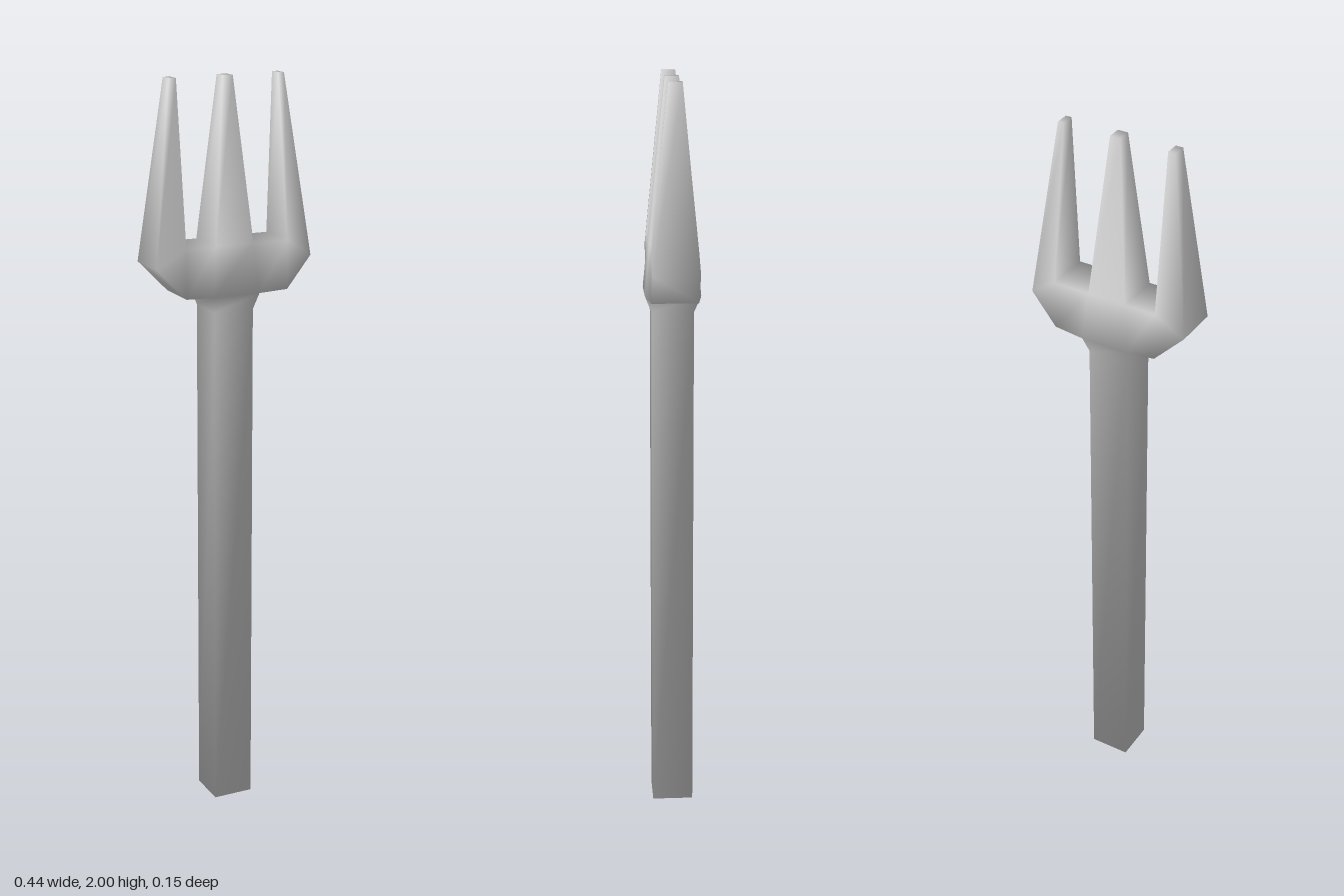
import * as THREE from 'three';

export function createModel() {
  const points = [], lookup = new Map(), normals = [], parts = {};

  // Shared corner index, so shading flows from part to part
  const corner = (p) => {
    const key = p.map((v) => v.toFixed(4)).join();
    if (!lookup.has(key)) {
      lookup.set(key, points.length);
      points.push(p);
      normals.push(new THREE.Vector3());
    }
    return lookup.get(key);
  };

  // Adds a quad (or a triangle, if two corners coincide) to a named part
  const quad = (part, ...corners) => {
    const ids = [...new Set(corners.map(corner))];
    const v = corners.map((p) => new THREE.Vector3(...p));
    const n = v[2].clone().sub(v[0]).cross(v[3].clone().sub(v[1])).normalize();
    ids.forEach((i) => normals[i].add(n));
    const index = (parts[part] ??= []);
    for (let i = 2; i < ids.length; i++) index.push(ids[0], ids[i - 1], ids[i]);
  };

  // Four-cornered section, counter-clockwise seen from above
  const section = (x0, x1, z, y0, y1 = y0) =>
    [[x0, y0, z], [x1, y1, z], [x1, y1, -z], [x0, y0, -z]];
  const loft = (part, a, b) => {
    for (let i = 0; i < 4; i++) {
      const j = (i + 1) % 4;
      quad(part, a[i], a[j], b[j], b[i]);
    }
  };

  // Square handle and the flared collar above it
  const foot = section(-0.055, 0.055, 0.055, 0);
  const neck = section(-0.055, 0.055, 0.055, 1.4);
  quad('handle', ...foot.slice().reverse());
  loft('handle', foot, neck);
  loft('collar', neck, section(-0.065, 0.065, 0.073, 1.445));

  // Head: lower and upper outlines as [x, y, half depth]
  const D = 0.061;
  const lower = [[-0.22, 1.53, D], [-0.137, 1.445, D], [-0.065, 1.445, 0.073],
    [0.065, 1.445, 0.073], [0.152, 1.445, D], [0.22, 1.53, D]];
  const upper = [[-0.22, 1.53, D], [-0.137, 1.575, D], [-0.053, 1.575, D],
    [0.053, 1.575, D], [0.152, 1.575, D], [0.22, 1.53, D]];
  const front = ([x, y, z]) => [x, y, z];
  const back = ([x, y, z]) => [x, y, -z];
  // Tine tips as [x0, x1], one above every second segment
  const tips = { 0: [-0.163, -0.143], 2: [-0.014, 0.014], 4: [0.143, 0.159] };
  const names = { 0: 'rightTine', 2: 'middleTine', 4: 'leftTine' };

  for (let i = 0; i < 5; i++) {
    const [a, b, c, d] = [lower[i], lower[i + 1], upper[i + 1], upper[i]];
    quad('head', front(a), front(b), front(c), front(d));
    quad('head', back(b), back(a), back(d), back(c));
    if (i !== 2) quad('head', back(a), back(b), front(b), front(a));
    if (tips[i]) {
      const tip = section(...tips[i], 0.018, 2);
      loft(names[i], section(d[0], c[0], D, d[1], c[1]), tip);
      quad(names[i], ...tip);
    } else {
      quad('head', front(d), front(c), back(c), back(d));
    }
  }

  // One mesh per part, all using the shared smooth normals
  const position = new THREE.Float32BufferAttribute(points.flat(), 3);
  const normal = new THREE.Float32BufferAttribute(
    normals.flatMap((n) => n.normalize().toArray()), 3);
  const material = new THREE.MeshStandardMaterial({ color: 0xcccccc });
  const group = new THREE.Group();
  group.name = 'trident';
  for (const [name, index] of Object.entries(parts)) {
    const geometry = new THREE.BufferGeometry();
    geometry.setAttribute('position', position);
    geometry.setAttribute('normal', normal);
    geometry.setIndex(index);
    const mesh = new THREE.Mesh(geometry, material);
    mesh.name = name;
    group.add(mesh);
  }
  return group;
}
